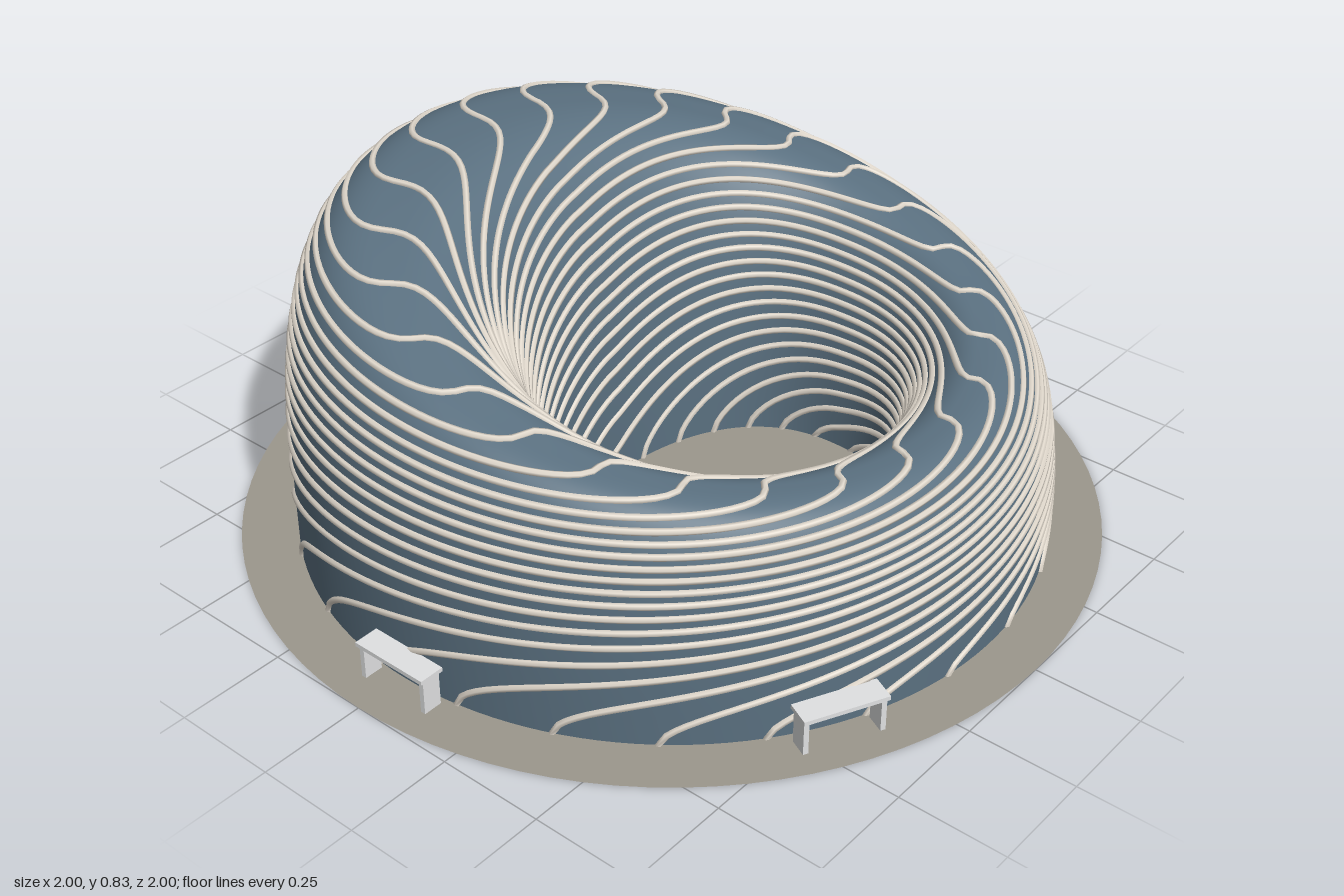
import * as THREE from 'three';

const mat = (name, color, side = THREE.FrontSide) => {
  const m = new THREE.MeshStandardMaterial({ color, side });
  m.name = name;
  return m;
};

const RIBS = 25;
const OUTER_TWIST = 3.8;
const INNER_TWIST = 4.6;

// Loop on the plan: angle 0 faces the front, a quarter turn faces +x; power < 1 squares it off
function loop(angle, cx, cz, rx, rz, power = 1) {
  const bend = (v) => Math.sign(v) * Math.pow(Math.abs(v), power);
  return [cx + rx * bend(Math.sin(angle)), cz + rz * bend(Math.cos(angle))];
}

// How high (0..1) and how far from the crest (0..1) a section position s lies
function section(angle, s) {
  const a = s * Math.PI;
  const p = 2 / (s < 0.5 ? 2.9 - 0.35 * Math.sin(angle) : 2.5 - 0.4 * Math.cos(angle));
  return {
    lift: Math.pow(Math.max(0, Math.sin(a)), p),
    spread: Math.pow(Math.abs(Math.cos(a)), p),
  };
}

// Shell surface: s runs from the outer foot (0) over the crest (0.5) to the inner foot (1)
function shellPoint(angle, s, target = new THREE.Vector3()) {
  const { lift, spread } = section(angle, s);
  const crest = loop(angle, -0.03, 0.07, 0.65, 0.63);
  const foot = s < 0.5
    ? loop(angle, -0.003, 0.006, 0.87, 0.872)
    : loop(angle, -0.03, 0.175, 0.44, 0.325, 0.87);
  const c = Math.cos(angle);
  const height = 0.614 - 0.17 * c + 0.033 * c * c - 0.01 * Math.sin(angle);
  return target.set(
    crest[0] + (foot[0] - crest[0]) * spread,
    height * lift,
    crest[1] + (foot[1] - crest[1]) * spread,
  );
}

// Smooth ring-shaped shell, closed around the plan
function shellGeometry(around = 144, across = 80) {
  const positions = [];
  const index = [];
  const row = across + 1;
  for (let i = 0; i < around; i++) {
    for (let j = 0; j <= across; j++) {
      const p = shellPoint((i / around) * Math.PI * 2, j / across);
      positions.push(p.x, p.y, p.z);
      if (j === across) continue;
      const a = i * row + j;
      const b = ((i + 1) % around) * row + j;
      index.push(a, b, a + 1, b, b + 1, a + 1);
    }
  }
  const geometry = new THREE.BufferGeometry();
  geometry.setAttribute('position', new THREE.Float32BufferAttribute(positions, 3));
  geometry.setIndex(index);
  geometry.computeVertexNormals();
  return geometry;
}

// Rib path: steep at the foot, sweeping flatter towards the crest, then swirling down the funnel
class RibCurve extends THREE.Curve {
  constructor(start) {
    super();
    this.start = start;
  }
  getPoint(s, target = new THREE.Vector3()) {
    const climb = Math.pow(Math.max(0, Math.sin(s * Math.PI)), 1.1);
    const turn = s < 0.5 ? OUTER_TWIST * climb : OUTER_TWIST + INNER_TWIST * (1 - climb);
    return shellPoint(this.start + turn, s, target);
  }
}

// Bench: thin seat on two panel legs
function bench(material, x, z, turn) {
  const group = new THREE.Group();
  group.name = 'bench';
  const seat = new THREE.Mesh(new THREE.BoxGeometry(0.195, 0.01, 0.06), material);
  seat.name = 'benchSeat';
  seat.position.y = 0.087;
  group.add(seat);
  for (const side of [-1, 1]) {
    const leg = new THREE.Mesh(new THREE.BoxGeometry(0.012, 0.083, 0.045), material);
    leg.name = 'benchLeg';
    leg.position.set(side * 0.088, 0.0415, 0);
    group.add(leg);
  }
  group.position.set(x, 0, z);
  group.rotation.y = turn;
  return group;
}

export function createModel() {
  const model = new THREE.Group();
  model.name = 'pavilion';
  const shellMat = mat('slateBlue', 0x5a7080, THREE.DoubleSide);
  const ribMat = mat('paleStone', 0xe2dace);
  const groundMat = mat('warmGrey', 0x9c978c, THREE.DoubleSide);
  const benchMat = mat('lightGrey', 0xe0e1e2);

  // Round paved base
  const ground = new THREE.Mesh(new THREE.CircleGeometry(1, 96), groundMat);
  ground.name = 'groundDisc';
  ground.rotation.x = -Math.PI / 2;
  model.add(ground);

  // Shell
  const shell = new THREE.Mesh(shellGeometry(), shellMat);
  shell.name = 'shell';
  model.add(shell);

  // Swirling ribs
  const ribs = new THREE.Group();
  ribs.name = 'ribs';
  for (let i = 0; i < RIBS; i++) {
    const path = new RibCurve(0.1 + (i / RIBS) * Math.PI * 2);
    const rib = new THREE.Mesh(new THREE.TubeGeometry(path, 220, 0.008, 6), ribMat);
    rib.name = 'rib';
    // keep the rib ends above the ground
    const pos = rib.geometry.attributes.position;
    for (let k = 0; k < pos.count; k++) pos.setY(k, Math.max(0.001, pos.getY(k)));
    ribs.add(rib);
  }
  model.add(ribs);

  // Benches along the outer wall
  model.add(bench(benchMat, -0.903, 0.025, Math.PI / 2));
  model.add(bench(benchMat, -0.43, 0.805, -0.45));
  return model;
}
